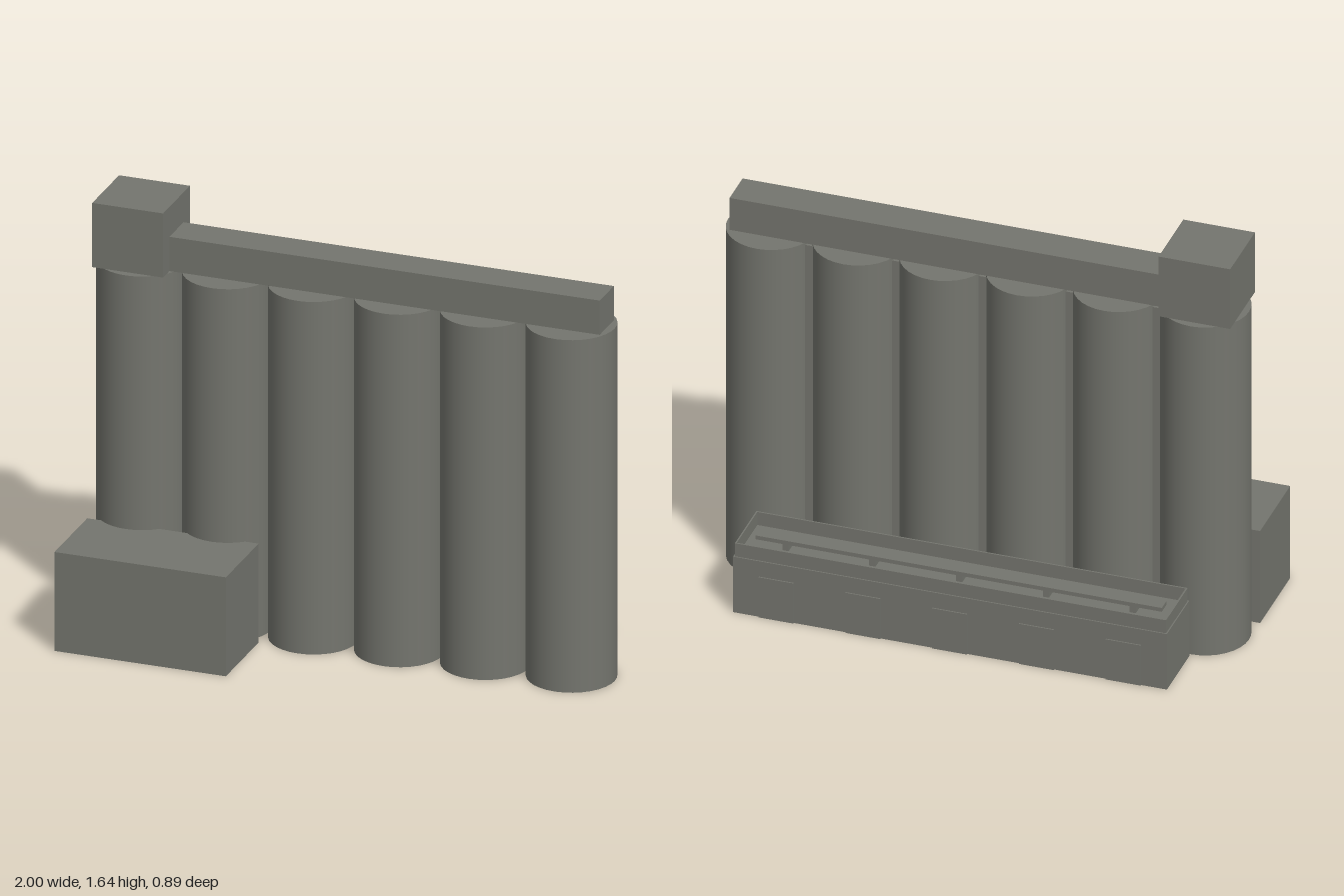
import * as THREE from 'three';

export function createModel() {
  const model = new THREE.Group();
  const concrete = new THREE.MeshStandardMaterial({ color: 0x74756e, side: THREE.DoubleSide });
  concrete.name = 'concrete grey';

  function add(name, geometry, parent = model) {
    const mesh = new THREE.Mesh(geometry, concrete);
    mesh.name = name;
    parent.add(mesh);
    return mesh;
  }

  // Box from its limits; sides listed in skip (0..5: +x -x +y -y +z -z) are left open
  function block(name, x0, x1, y0, y1, z0, z1, parent = model, skip = []) {
    const g = new THREE.BoxGeometry(x1 - x0, y1 - y0, z1 - z0);
    g.translate((x0 + x1) / 2, (y0 + y1) / 2, (z0 + z1) / 2);
    const index = Array.from(g.index.array);
    g.setIndex(index.filter((v, i) => !skip.includes(Math.floor(i / 6))));
    g.clearGroups();
    return add(name, g, parent);
  }

  // Row of six silos, open underneath
  const silos = new THREE.Group();
  silos.name = 'silos';
  model.add(silos);
  const r = 1 / 6, siloH = 1.39, siloZ = -0.0125;
  for (let i = 0; i < 6; i++) {
    const x = -1 + r + i * 2 * r;
    add('siloWall', new THREE.CylinderGeometry(r, r, siloH, 32, 1, true), silos)
      .position.set(x, siloH / 2, siloZ);
    add('siloTop', new THREE.CircleGeometry(r, 32).rotateX(-Math.PI / 2), silos)
      .position.set(x, siloH, siloZ);
    // Filler web behind each joint
    if (i < 5) block('siloWeb', x + r - 0.03, x + r + 0.03, 0, 1.38, -0.08, siloZ, silos, [3]);
  }

  // Conveyor gallery and elevator head on top of the silos
  block('topGallery', -0.7, 0.97, siloH, 1.525, -0.085, 0.06);
  block('elevatorHead', -0.975, -0.7, siloH, 1.643, -0.15, 0.125);

  // Annex at the front, open underneath
  block('frontAnnex', -1, -0.335, 0, 0.39, 0.11, 0.445, model, [3]);

  // Loading shed at the back
  const shed = new THREE.Group();
  shed.name = 'loadingShed';
  model.add(shed);
  block('shedBody', -0.833, 0.833, 0, 0.235, -0.442, -0.192, shed);

  // Parapet around the sunken roof
  const y0 = 0.235, y1 = 0.29, t = 0.006;
  block('parapet', -0.828, 0.828, y0, y1, -0.437, -0.437 + t, shed);
  block('parapet', -0.828, 0.828, y0, y1, -0.197 - t, -0.197, shed);
  for (const s of [-1, 1]) {
    block('parapet', s * 0.825 - t / 2, s * 0.825 + t / 2, y0, y1, -0.437, -0.197, shed);
  }

  // Raised roof strip on short posts, and door panels on the back wall
  block('roofStrip', -0.78, 0.78, 0.264, 0.28, -0.345, -0.295, shed);
  for (let i = -2; i <= 2; i++) {
    const x = i / 3;
    block('stripPost', x - 0.012, x + 0.012, y0, 0.264, -0.34, -0.3, shed);
    block('doorPanel', x - 0.067, x + 0.067, 0, 0.17, -0.447, -0.44, shed);
  }

  return model;
}
